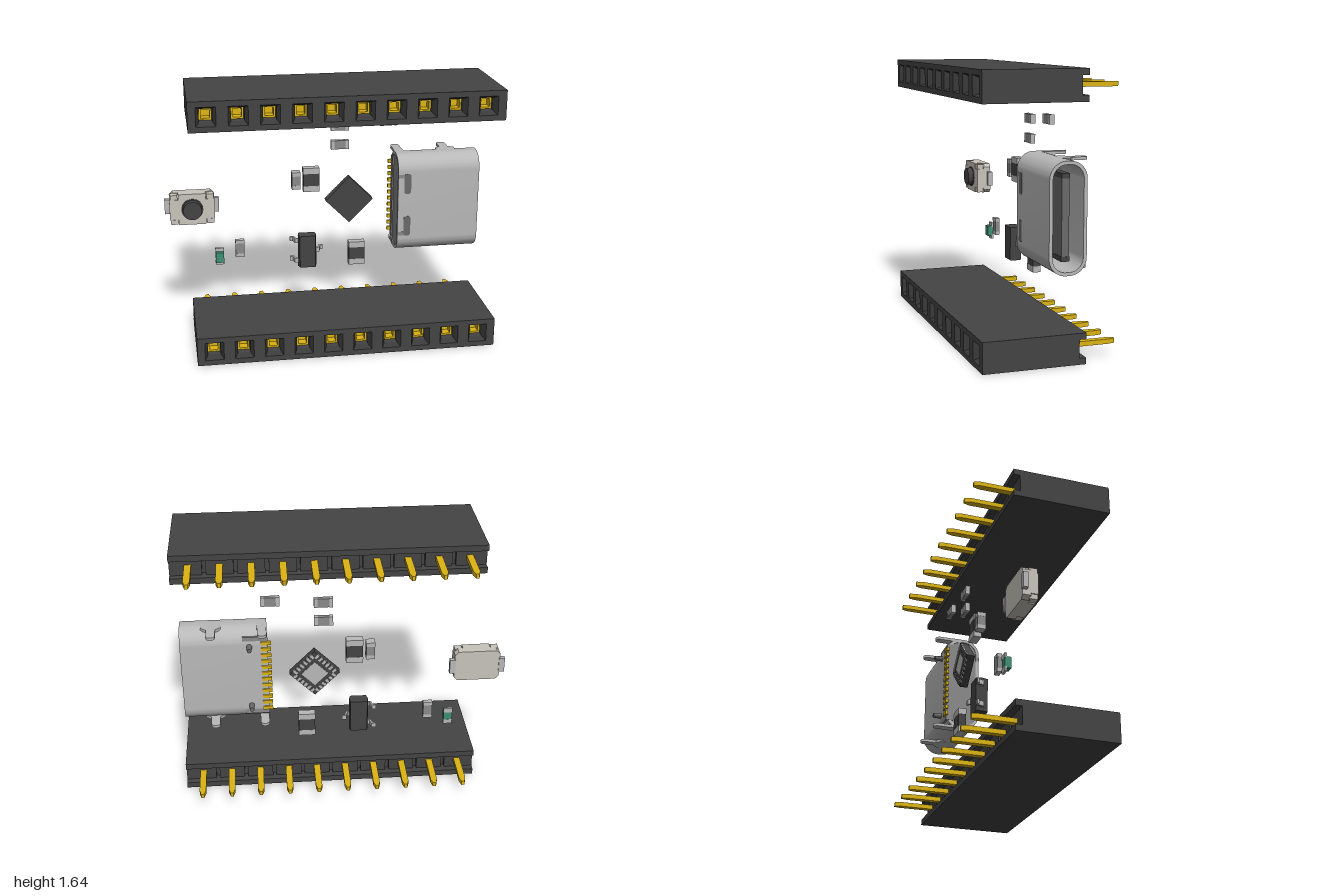
import * as THREE from 'three';
import { toCreasedNormals } from 'three/addons/utils/BufferGeometryUtils.js';

const mat = (color, side = THREE.FrontSide) => new THREE.MeshStandardMaterial({ color, side });
const black = mat(0x444444), gold = mat(0xdcb414), steel = mat(0xb8b8b8), grey = mat(0x8a8a8a);
const darkGrey = mat(0x6a6a6a), shellMat = mat(0xb8b8b8), pale = mat(0xc8c4bc), green = mat(0x3f8f75);
const funnelMat = mat(0x3a3a3a, THREE.DoubleSide);
const BOARD = -0.2; // plane on which the parts are mounted

function add(parent, name, geo, material, x = 0, y = 0, z = 0) {
  const m = new THREE.Mesh(geo, material);
  m.name = name;
  m.position.set(x, y, z);
  parent.add(m);
  return m;
}
// Box given by its limits
const box = (p, name, m, x0, x1, y0, y1, z0, z1) =>
  add(p, name, new THREE.BoxGeometry(x1 - x0, y1 - y0, z1 - z0), m, (x0 + x1) / 2, (y0 + y1) / 2, (z0 + z1) / 2);

function group(parent, name, x = 0, y = 0, z = 0) {
  const g = new THREE.Group();
  g.name = name;
  g.position.set(x, y, z);
  parent.add(g);
  return g;
}
const poly = (pts) => new THREE.Shape(pts.map(([x, y]) => new THREE.Vector2(x, y)));
const rect = (x0, x1, y0, y1) => poly([[x0, y0], [x1, y0], [x1, y1], [x0, y1]]);
const extrude = (shape, depth, curveSegments = 12) =>
  new THREE.ExtrudeGeometry(shape, { depth, bevelEnabled: false, curveSegments });

// Rounded rectangle centred on the origin
function roundRect(w, h, r) {
  const s = new THREE.Shape(), a = w / 2 - r, b = h / 2 - r;
  s.absarc(a, b, r, 0, Math.PI / 2);
  s.absarc(-a, b, r, Math.PI / 2, Math.PI);
  s.absarc(-a, -b, r, Math.PI, 1.5 * Math.PI);
  s.absarc(a, -b, r, 1.5 * Math.PI, 2 * Math.PI);
  s.closePath();
  return s;
}

// Ten-way socket strip, centred on height y
function socketHeader(parent, y) {
  const g = group(parent, 'socketHeader', 0, y, 0);
  const X0 = -0.85, X1 = 0.997, H = 0.09;
  const xs = Array.from({ length: 10 }, (_, i) => -0.747 + i * 0.1818);
  const perforated = (half) => {
    const s = rect(X0, X1, -H, H);
    xs.forEach((x) => s.holes.push(rect(x - half, x + half, -half, half)));
    return s;
  };
  add(g, 'headerBody', extrude(perforated(0.039), 0.37), black, 0, 0, 0);
  add(g, 'headerFace', extrude(perforated(0.057), 0.04), black, 0, 0, 0.37);
  box(g, 'headerCore', black, X0, X1, -H, H, -0.13, 0);
  box(g, 'upperLip', black, X0, X1, 0.053, H, -0.197, -0.13);
  box(g, 'lowerLip', black, X0, X1, -H, -0.053, -0.197, -0.13);
  const q = Math.SQRT2;
  const funnel = new THREE.CylinderGeometry(0.057 * q, 0.039 * q, 0.04, 4, 1, true).toNonIndexed();
  funnel.rotateY(Math.PI / 4).rotateX(Math.PI / 2);
  funnel.computeVertexNormals();
  const tube = rect(-0.036, 0.036, -0.036, 0.036);
  tube.holes.push(rect(-0.025, 0.025, -0.025, 0.025));
  const contact = extrude(tube, 0.33);
  const pin = extrude(poly([[-0.02, 0], [0.02, 0], [0.02, 0.26], [0.009, 0.298], [-0.009, 0.298], [-0.02, 0.26]]), 0.028);
  pin.translate(0, 0, -0.014).rotateX(-Math.PI / 2);
  xs.forEach((x, i) => {
    const a = i === 0 ? X0 : x - 0.08, b = i === 9 ? X1 : x + 0.08;
    box(g, 'rearBlock', black, a, b, -0.053, 0.053, -0.157, -0.13);
    add(g, 'funnel', funnel, funnelMat, x, 0, 0.39);
    add(g, 'contact', contact, gold, x, 0, 0.005);
    box(g, 'contactFloor', gold, x - 0.026, x + 0.026, -0.026, 0.026, 0, 0.28);
    add(g, 'pin', pin, gold, x, 0, -0.112);
  });
}

// Two-terminal chip part, lying along y unless turned
function chipPart(parent, name, x, y, w, h, t, end, middle, turned = false) {
  const g = group(parent, name, x, y, BOARD);
  if (turned) g.rotation.z = Math.PI / 2;
  box(g, 'body', middle, -w / 2 + 0.001, w / 2 - 0.001, -h / 2 + end, h / 2 - end, 0.001, t - 0.001);
  for (const s of [-1, 1]) {
    add(g, 'terminal', new THREE.BoxGeometry(w, end, t), steel, 0, s * (h - end) / 2, t / 2);
  }
}

// Oval receptacle opening towards +x
function receptacle(parent) {
  const g = group(parent, 'receptacle', 0, 0.822, -0.092);
  const along = (shape, len) => toCreasedNormals(extrude(shape, len, 10).rotateY(Math.PI / 2), 0.6);
  const shell = roundRect(0.222, 0.636, 0.1);
  shell.holes.push(roundRect(0.182, 0.596, 0.08));
  add(g, 'shell', along(shell, 0.52), shellMat, 0.452);
  add(g, 'insert', along(roundRect(0.184, 0.598, 0.08), 0.16), grey, 0.458);
  box(g, 'tongue', darkGrey, 0.6, 0.93, -0.24, 0.24, -0.022, 0.022);
  for (const s of [-1, 1]) {
    box(g, 'tongueTip', black, 0.6, 0.932, s * 0.232 - 0.014, s * 0.232 + 0.014, -0.024, 0.024);
  }
  box(g, 'rearHousing', grey, 0.45, 0.6, -0.27, 0.27, -0.108, -0.06);
  // latch openings in the front wall
  const latch = extrude(roundRect(0.044, 0.13, 0.016), 0.003, 5);
  for (const s of [-1, 1]) {
    add(g, 'latchSlot', latch, darkGrey, 0.513, s * 0.14, 0.1095);
    box(g, 'latchNotch', grey, 0.451, 0.495, s * 0.19 - 0.012, s * 0.19 + 0.012, 0.1, 0.1125);
    // mounting legs and locating pegs
    for (const [x, wide] of [[0.482, 0.03], [0.785, 0.06]]) {
      const prong = 0.0275;
      const leg = new THREE.Shape();
      leg.moveTo(-wide, 0.01);
      leg.lineTo(-wide, -0.06);
      leg.lineTo(-prong, -0.085);
      leg.lineTo(-prong, -0.155);
      leg.absarc(0, -0.155, prong, Math.PI, 2 * Math.PI);
      leg.lineTo(prong, -0.085);
      leg.lineTo(wide, -0.06);
      leg.lineTo(wide, 0.01);
      const geo = extrude(leg, 0.018, 8).translate(0, 0, -0.009).rotateX(Math.PI / 2);
      add(g, 'mountingLeg', geo, shellMat, x, s * 0.309, 0);
    }
    const peg = new THREE.CylinderGeometry(0.018, 0.014, 0.07, 16).rotateX(Math.PI / 2);
    add(g, 'locatingPeg', peg, darkGrey, 0.56, s * 0.207, -0.128);
  }
  for (let i = 0; i < 12; i++) {
    const y = (i - 5.5) * 0.0415;
    box(g, 'contactPad', gold, 0.43, 0.49, y - 0.011, y + 0.011, -0.118, -0.1);
  }
}

// Push button with clipped corners
function pushButton(parent) {
  const g = group(parent, 'pushButton', -0.83, 0.825, BOARD);
  const a = 0.14, b = 0.1, c = 0.022;
  const plan = poly([[-a + c, -b], [a - c, -b], [a, -b + c], [a, b - c], [a - c, b], [-a + c, b], [-a, b - c], [-a, -b + c]]);
  add(g, 'base', extrude(plan, 0.05), pale, 0, 0, 0.005);
  box(g, 'cover', pale, -a, a, -0.065, 0.065, 0.04, 0.098);
  box(g, 'coverBand', pale, -0.085, 0.085, -b, b, 0.04, 0.098);
  for (const sx of [-1, 1]) {
    box(g, 'terminal', steel, sx * 0.152 - 0.018, sx * 0.152 + 0.018, -0.047, 0.047, 0, 0.03);
    for (const sy of [-1, 1]) {
      add(g, 'coverCorner', new THREE.BoxGeometry(0.045, 0.03, 0.05), pale, sx * 0.112, sy * 0.081, 0.072);
    }
  }
  const ring = new THREE.CylinderGeometry(0.068, 0.068, 0.02, 32).rotateX(Math.PI / 2);
  const plunger = new THREE.CylinderGeometry(0.058, 0.062, 0.06, 32).rotateX(Math.PI / 2);
  add(g, 'plungerCollar', ring, black, 0, 0, 0.093);
  add(g, 'plunger', plunger, black, 0, 0, 0.105);
}

// Square leadless chip turned by 45 degrees, pads underneath
function squareChip(parent) {
  const g = group(parent, 'squareChip', 0.17, 0.82, BOARD);
  g.rotation.z = Math.PI / 4;
  box(g, 'body', black, -0.108, 0.108, -0.108, 0.108, 0.003, 0.055);
  box(g, 'centrePad', steel, -0.058, 0.058, -0.058, 0.058, 0, 0.01);
  for (let side = 0; side < 4; side++) {
    const row = group(g, 'padRow');
    row.rotation.z = side * Math.PI / 2;
    for (let i = 0; i < 6; i++) {
      const x = (i - 2.5) * 0.029;
      box(row, 'pad', steel, x - 0.008, x + 0.008, 0.079, 0.1085, 0, 0.01);
    }
  }
}

// Three-lead transistor with sloped flanks
function transistor(parent) {
  const g = group(parent, 'transistor', -0.103, 0.488, BOARD);
  const profile = poly([[-0.052, 0.008], [0.052, 0.008], [0.06, 0.045], [0.05, 0.082], [-0.05, 0.082], [-0.06, 0.045]]);
  const body = extrude(profile, 0.214).translate(0, 0, -0.107).rotateX(Math.PI / 2);
  body.scale(1, 1, 1);
  add(g, 'body', body, black);
  const bent = poly([[0.05, 0.038], [0.07, 0.038], [0.08, 0], [0.107, 0], [0.107, 0.012], [0.089, 0.012], [0.079, 0.05], [0.05, 0.05]]);
  const lead = extrude(bent, 0.03).translate(0, 0, -0.015).rotateX(Math.PI / 2);
  add(g, 'lead', lead, steel);
  for (const s of [-1, 1]) add(g, 'lead', lead, steel, 0, s * 0.068).rotation.z = Math.PI;
  // leads turned about z keep their feet on the board
}

export function createModel() {
  const model = new THREE.Group();
  model.name = 'circuitParts';
  for (const y of [0.091, 1.548]) socketHeader(model, y);
  receptacle(model);
  pushButton(model);
  squareChip(model);
  transistor(model);
  // resistors
  for (const [x, y, turned] of [[0.113, 1.302, true], [0.113, 1.18, true], [0.427, 1.322, true], [-0.535, 0.517, false]]) {
    chipPart(model, 'resistor', x, y, 0.058, 0.113, 0.03, 0.022, grey, turned);
  }
  // capacitors and indicator lamp
  chipPart(model, 'smallCapacitor', -0.17, 0.962, 0.055, 0.112, 0.055, 0.026, grey);
  chipPart(model, 'capacitor', -0.073, 0.963, 0.104, 0.156, 0.05, 0.038, black);
  chipPart(model, 'capacitor', 0.223, 0.447, 0.104, 0.156, 0.05, 0.038, black);
  chipPart(model, 'lamp', -0.665, 0.465, 0.055, 0.112, 0.014, 0.03, green);
  box(model, 'lampLens', green, -0.691, -0.639, 0.431, 0.499, -0.187, -0.16);
  return model;
}
